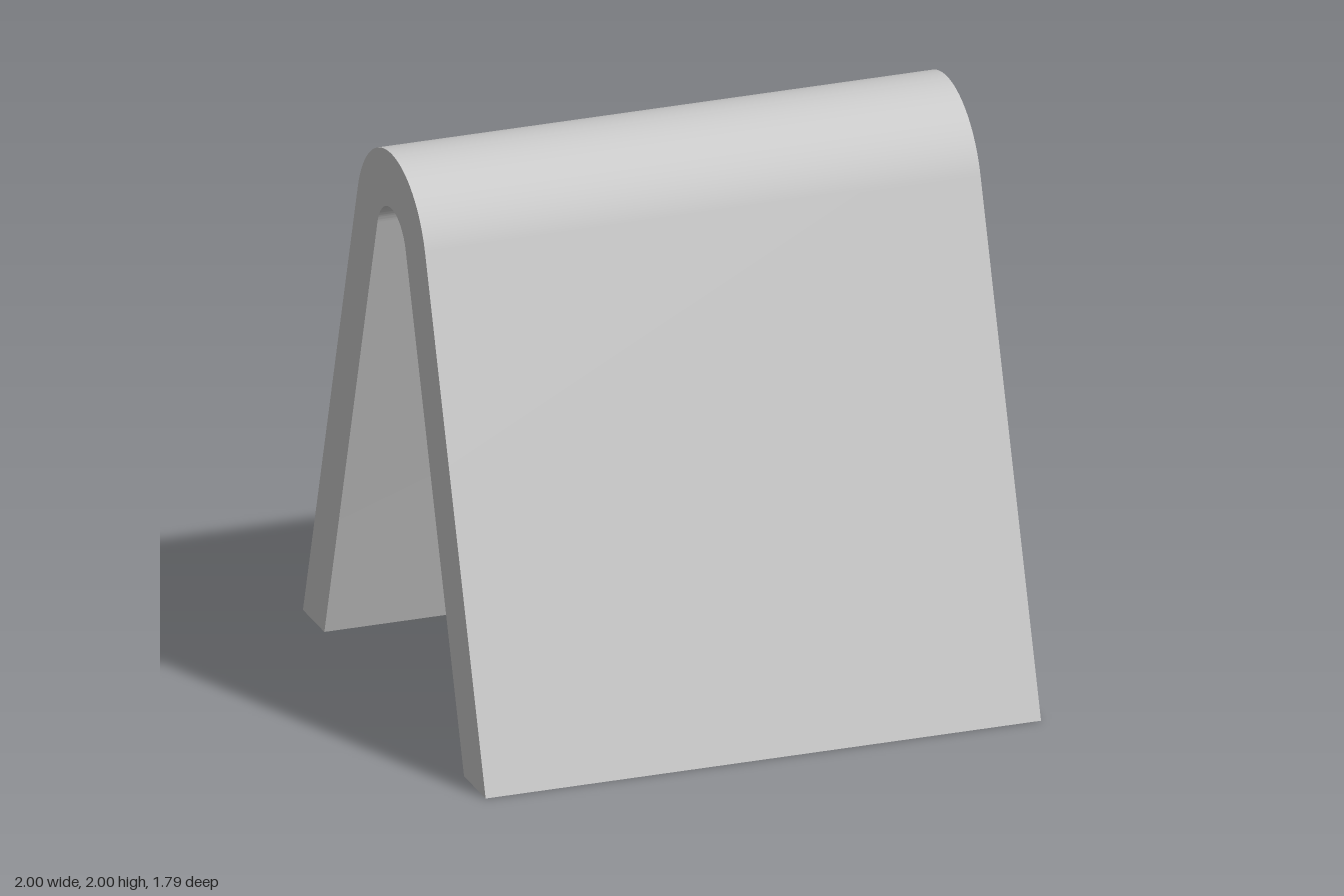
import * as THREE from 'three';
import { toCreasedNormals } from 'three/addons/utils/BufferGeometryUtils.js';

export function createModel() {
  const group = new THREE.Group();
  group.name = 'foldedStand';

  // Side profile: two splayed legs joined by a round bend (shape x = depth)
  const cx = -0.025, cy = 1.655, outer = 0.345, inner = 0.145;
  const front = THREE.MathUtils.degToRad(18.55);
  const back = Math.PI - THREE.MathUtils.degToRad(17);
  // Where the leg face tangent to the bend at angle a meets the ground
  const foot = (r, a) => cx + (r + cy * Math.sin(a)) / Math.cos(a);

  const profile = new THREE.Shape();
  profile.moveTo(foot(inner, front), 0);
  profile.lineTo(foot(outer, front), 0);
  profile.absarc(cx, cy, outer, front, back, false);
  profile.lineTo(foot(outer, back), 0);
  profile.lineTo(foot(inner, back), 0);
  profile.absarc(cx, cy, inner, back, front, true);
  profile.closePath();

  // Extrude across the full width and turn the profile to face sideways
  const width = 2;
  const geometry = new THREE.ExtrudeGeometry(profile, {
    depth: width, bevelEnabled: false, curveSegments: 40,
  });
  geometry.translate(0, 0, -width / 2);
  geometry.rotateY(-Math.PI / 2);

  const panel = new THREE.Mesh(
    toCreasedNormals(geometry, 0.5),
    new THREE.MeshStandardMaterial({ color: 0xcccccc }),
  );
  panel.name = 'bentPanel';
  group.add(panel);
  return group;
}
